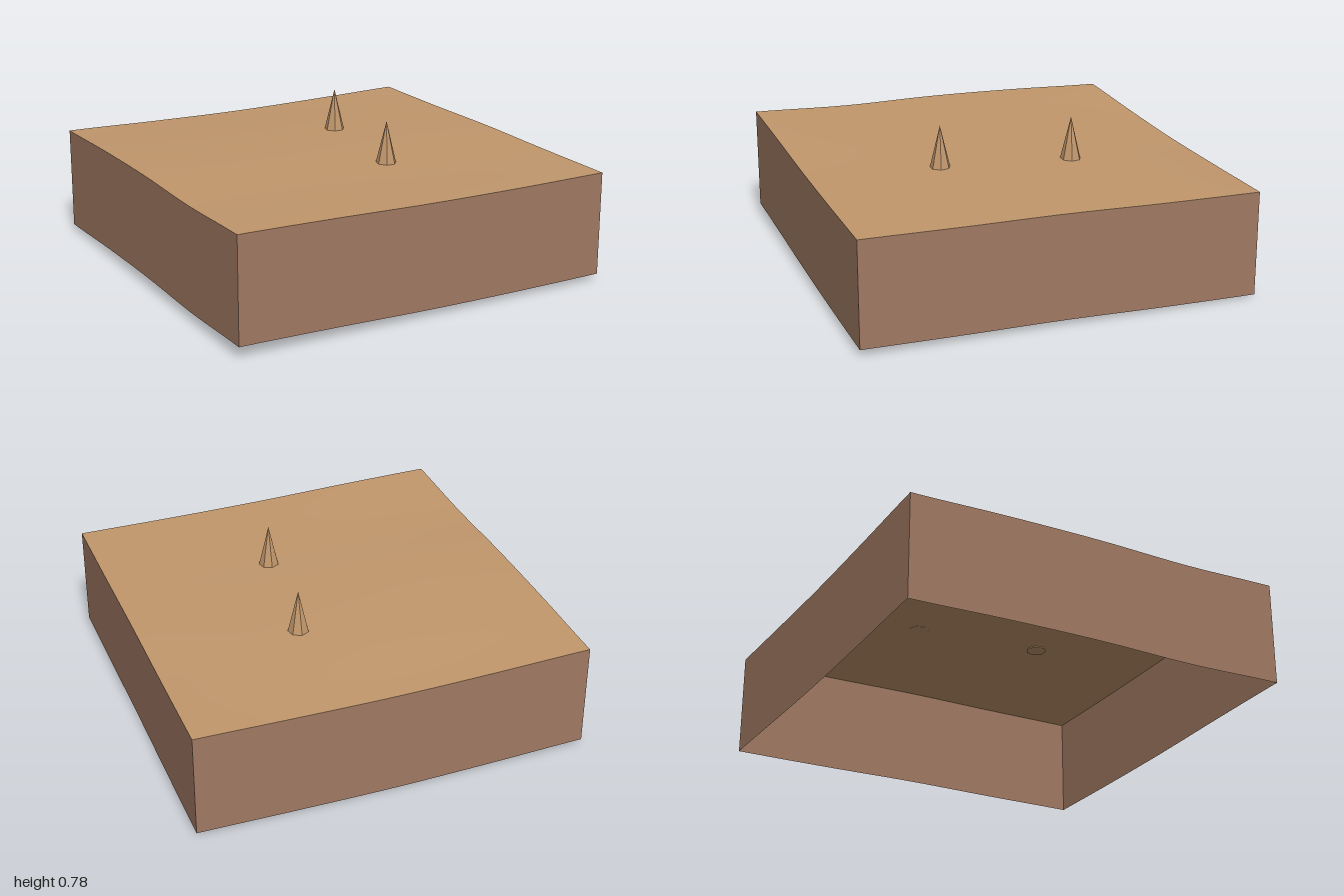
import * as THREE from 'three';

const groundTan = new THREE.MeshStandardMaterial({ color: 0xc1976c, side: THREE.DoubleSide, name: 'ground tan' });
const earthBrown = new THREE.MeshStandardMaterial({ color: 0xa07a63, side: THREE.DoubleSide, name: 'earth brown' });
const spikeTan = new THREE.MeshStandardMaterial({ color: 0xc1976c, flatShading: true, name: 'spike tan' });

const SEGMENTS = 24;
const DEPTH = 0.53;

// Ground heights, rows from back (z = -1) to front, columns from x = -1 to x = 1
const HEIGHTS = [
  [0.555, 0.54, 0.53, 0.533, 0.54],
  [0.572, 0.562, 0.555, 0.55, 0.545],
  [0.58, 0.573, 0.565, 0.558, 0.555],
  [0.575, 0.57, 0.562, 0.556, 0.556],
  [0.59, 0.58, 0.566, 0.56, 0.56],
];

// Smooth curve through evenly spaced values, t from -1 to 1
function spline(values, t) {
  const points = values.map((v, i) => new THREE.Vector2(i, v));
  return new THREE.SplineCurve(points).getPoint((t + 1) / 2).y;
}

const heightAt = (x, z) => spline(HEIGHTS.map((row) => spline(row, x)), z);

// Gently rolling top surface
function makeGround() {
  const geometry = new THREE.PlaneGeometry(2, 2, SEGMENTS, SEGMENTS).rotateX(-Math.PI / 2);
  const p = geometry.attributes.position;
  for (let i = 0; i < p.count; i++) p.setY(i, heightAt(p.getX(i), p.getZ(i)));
  geometry.computeVertexNormals();
  const mesh = new THREE.Mesh(geometry, groundTan);
  mesh.name = 'ground';
  return mesh;
}

// Side wall hanging a constant depth below one edge of the ground
function makeWall(name, angle) {
  const geometry = new THREE.PlaneGeometry(2, 1, SEGMENTS, 1).translate(0, 0, 1).rotateY(angle);
  const p = geometry.attributes.position;
  for (let i = 0; i < p.count; i++) {
    const top = heightAt(p.getX(i), p.getZ(i));
    p.setY(i, p.getY(i) > 0 ? top : top - DEPTH);
  }
  const mesh = new THREE.Mesh(geometry, earthBrown);
  mesh.name = name;
  return mesh;
}

// Slim faceted cone standing on the ground
function makeSpike(name, x, z, turn) {
  const mesh = new THREE.Mesh(new THREE.ConeGeometry(0.053, 0.22, 7), spikeTan);
  mesh.position.set(x, 0.665, z);
  mesh.rotation.y = turn;
  mesh.name = name;
  return mesh;
}

export function createModel() {
  const model = new THREE.Group();
  model.name = 'terrainBlock';
  model.add(makeGround());
  ['frontWall', 'leftWall', 'backWall', 'rightWall'].forEach((name, i) => {
    model.add(makeWall(name, (i * Math.PI) / 2));
  });
  model.add(makeSpike('frontSpike', 0.165, 0.333, Math.PI));
  model.add(makeSpike('backSpike', 0.248, -0.333, Math.PI));
  return model;
}
